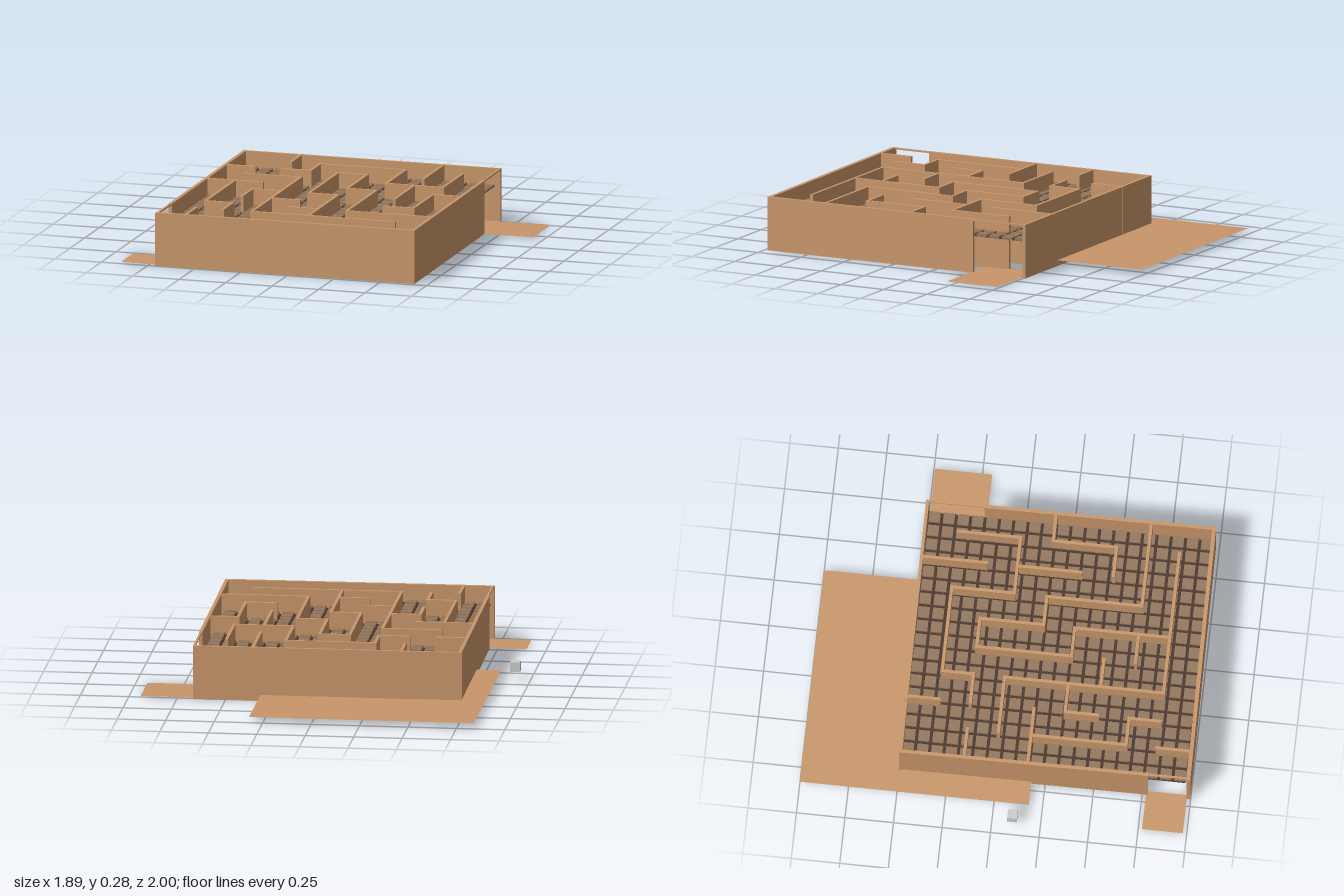
import * as THREE from 'three';

const wood = new THREE.MeshStandardMaterial({ color: 0xc8966a, side: THREE.DoubleSide });
const dark = new THREE.MeshStandardMaterial({ color: 0x463226, side: THREE.DoubleSide });
const tileMat = new THREE.MeshStandardMaterial({ color: 0x94765c });
const grey = new THREE.MeshStandardMaterial({ color: 0xcccccc });

const H = 0.28; // wall height

// Upright board between two points of the plan
function wall(name, x1, z1, x2, z2, t = 0.016, y0 = 0, y1 = H) {
  const len = Math.hypot(x2 - x1, z2 - z1) + t;
  const m = new THREE.Mesh(new THREE.BoxGeometry(len, y1 - y0, t), wood);
  m.position.set((x1 + x2) / 2, (y0 + y1) / 2, (z1 + z2) / 2);
  m.rotation.y = -Math.atan2(z2 - z1, x2 - x1);
  m.name = name;
  return m;
}

// Flat horizontal sheet
function sheet(name, x1, x2, z1, z2, y, mat) {
  const m = new THREE.Mesh(new THREE.PlaneGeometry(x2 - x1, z2 - z1).rotateX(-Math.PI / 2), mat);
  m.position.set((x1 + x2) / 2, y, (z1 + z2) / 2);
  m.name = name;
  return m;
}

export function createModel() {
  const g = new THREE.Group();
  g.name = 'maze';

  // Outer walls, with an opening at the back left and one at the front right
  g.add(
    wall('frontWall', -0.70, 0.988, 0.67, 0.972, 0.02),
    wall('backWall', -0.41, -0.497, 0.66, -0.503, 0.016),
    wall('backWallEnd', -0.71, -0.494, -0.41, -0.497, 0.016),
    wall('leftSideWall', 0.664, -0.20, 0.67, 0.972, 0.018),
    wall('rightSideWall', -0.708, -0.494, -0.70, 0.77, 0.018),
    wall('entryRail', 0.662, -0.5, 0.664, -0.2, 0.012, H - 0.008),
    wall('exitRail', -0.70, 0.77, -0.70, 0.98, 0.012, H - 0.008)
  );

  // Inner walls as polylines over the columns (x) and rows (z) of the maze
  const X = [-0.70, -0.55, -0.405, -0.25, -0.10, 0.055, 0.21, 0.36, 0.515, 0.665];
  const Z = [-0.50, -0.33, -0.168, -0.008, 0.16, 0.32, 0.487, 0.65, 0.81, 0.975];
  const paths = [
    [[0, 2], [1, 2]],
    [[2, 2], [3, 2], [3, 1], [6, 1], [6, 3], [8, 3], [8, 1]],
    [[7, 0], [7, 2]],
    [[2, 0], [2, 1]],
    [[1, 3], [3, 3], [3, 5], [2, 5], [2, 6]],
    [[0, 4], [2, 4]],
    [[1, 4], [1, 7], [2, 7], [2, 8]],
    [[4, 5], [4, 2], [5, 2], [5, 4], [6, 4], [6, 7], [9, 7]],
    [[4, 5], [5, 5], [5, 8]],
    [[3, 5], [3, 8], [8, 8]],
    [[3, 6], [4, 6]],
    [[4, 7], [5, 7]],
    [[7, 3], [7, 5]],
    [[9, 4], [8, 4], [8, 6], [7, 6]],
    [[1, 8], [1, 9]]
  ];
  const inner = new THREE.Group();
  inner.name = 'innerWalls';
  for (const p of paths)
    for (let i = 1; i < p.length; i++)
      inner.add(wall('innerWall', X[p[i - 1][0]], Z[p[i - 1][1]], X[p[i][0]], Z[p[i][1]]));
  g.add(inner);

  // Raised dark floor with square tiles
  g.add(sheet('mazeFloor', -0.692, 0.637, -0.495, 0.972, 0.185, dark));
  const cols = 18, rows = 20;
  const tiles = new THREE.Group();
  tiles.name = 'floorTiles';
  const tileGeo = new THREE.BoxGeometry(0.058, 0.012, 0.058);
  for (let i = 0; i < cols; i++)
    for (let j = 0; j < rows; j++) {
      const t = new THREE.Mesh(tileGeo, tileMat);
      t.name = 'floorTile';
      t.position.set(-0.657 + i * 0.0745, 0.192, -0.461 + j * 0.0738);
      tiles.add(t);
    }
  g.add(tiles);

  // Ground sheets
  g.add(
    sheet('groundSheet', -0.84, 0.32, -1, 0.18, 0.03, wood),
    sheet('entryMat', 0.50, 0.94, -0.495, -0.20, 0.004, wood),
    sheet('exitMat', -0.90, -0.69, 0.77, 0.98, 0.004, wood)
  );

  // Small loose cube
  const cube = new THREE.Mesh(new THREE.BoxGeometry(0.05, 0.05, 0.05), grey);
  cube.position.set(-0.923, 0.072, 0.105);
  cube.name = 'cube';
  g.add(cube);
  return g;
}
